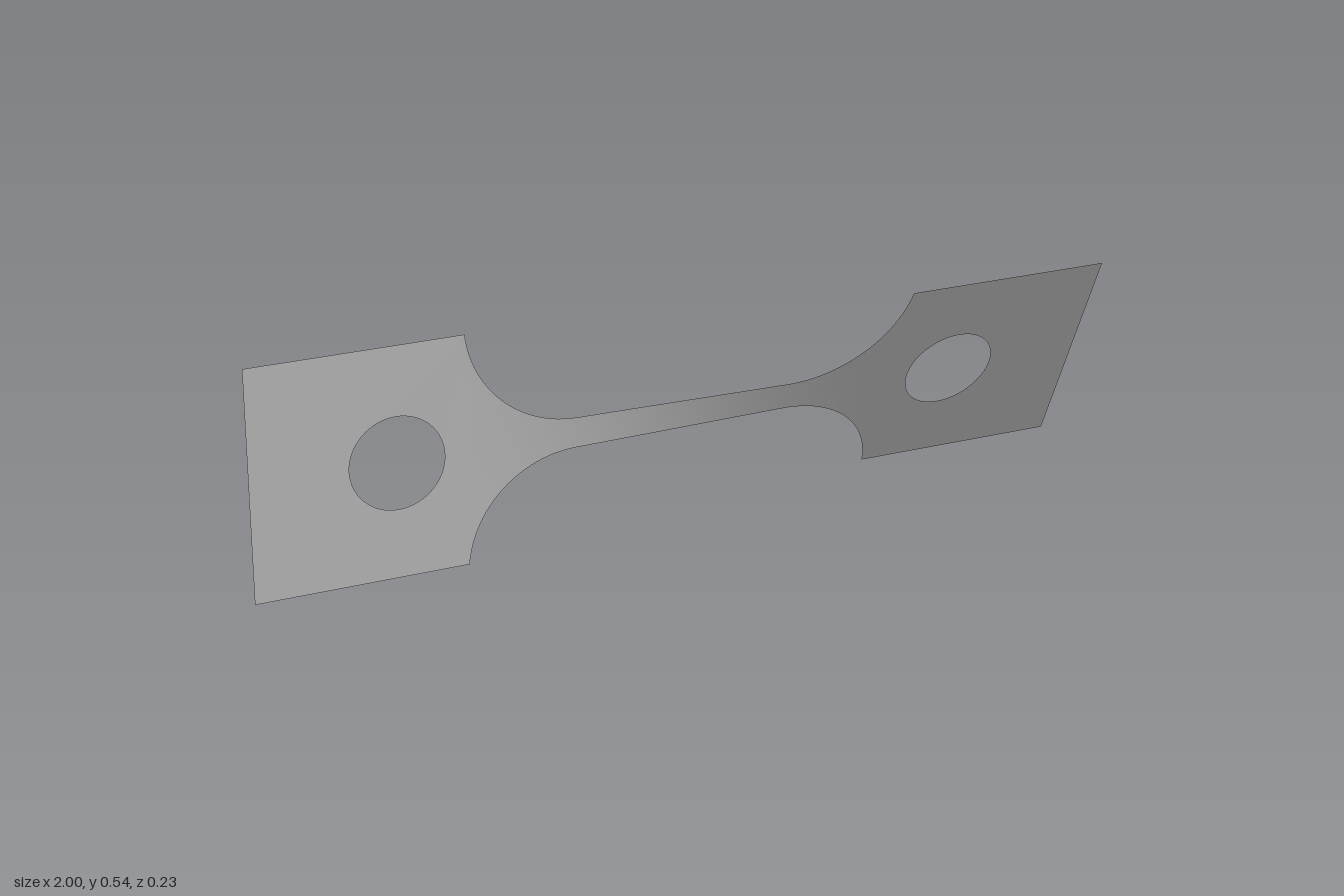
import * as THREE from 'three';

const HALF = 0.2705;                                // half height of the end plates
const ARC = { x: 0.255, y: 0.295, r: 0.258 };       // fillet circle between plate and neck
const EDGE = ARC.x + Math.sqrt(ARC.r ** 2 - (ARC.y - HALF) ** 2);

// Twist about the long axis, easing in along the neck
function twist(geometry) {
  const p = geometry.attributes.position;
  for (let i = 0; i < p.count; i++) {
    const x = p.getX(i), y = p.getY(i);
    const a = THREE.MathUtils.degToRad(0.7 + 24.3 * THREE.MathUtils.smoothstep(x, -0.58, 0.48));
    p.setXYZ(i, x, HALF + y * Math.cos(a), y * Math.sin(a));
  }
  geometry.computeVertexNormals();
  return geometry;
}

// Square end plate with a round hole
function plateGeometry(side) {
  const x0 = side < 0 ? -1 : EDGE, x1 = side < 0 ? -EDGE : 1;
  const shape = new THREE.Shape();
  shape.moveTo(x0, -HALF);
  shape.lineTo(x1, -HALF);
  shape.lineTo(x1, HALF);
  shape.lineTo(x0, HALF);
  shape.closePath();
  const hole = new THREE.Path();
  hole.absarc(side * 0.671, 0, 0.108, 0, Math.PI * 2, true);
  shape.holes.push(hole);
  return twist(new THREE.ShapeGeometry(shape, 32));
}

// Slim neck that flares through circular fillets into the plates
function neckGeometry() {
  const steps = 24, fillet = [];
  const end = Math.acos((ARC.y - HALF) / ARC.r);
  for (let i = 0; i <= steps; i++) {
    const t = (i / steps) * end;
    fillet.push([ARC.x + ARC.r * Math.sin(t), ARC.y - ARC.r * Math.cos(t)]);
  }
  const profile = fillet.map(([x, h]) => [-x, h]).reverse();
  for (let i = 1; i < 32; i++) profile.push([ARC.x * (i / 16 - 1), ARC.y - ARC.r]);
  profile.push(...fillet);

  const geometry = new THREE.PlaneGeometry(1, 1, profile.length - 1, 8);
  const p = geometry.attributes.position;
  for (let i = 0; i < p.count; i++) {
    const [x, h] = profile[i % profile.length];
    p.setXYZ(i, x, p.getY(i) * 2 * h, 0);
  }
  return twist(geometry);
}

export function createModel() {
  const group = new THREE.Group();
  group.name = 'twistedSpecimen';
  const steel = new THREE.MeshStandardMaterial({ color: 0xbcbcbc, side: THREE.DoubleSide });
  steel.name = 'grey steel';

  const add = (name, geometry) => {
    const mesh = new THREE.Mesh(geometry, steel);
    mesh.name = name;
    group.add(mesh);
  };
  add('rightPlate', plateGeometry(-1));
  add('leftPlate', plateGeometry(1));
  add('neck', neckGeometry());
  return group;
}
